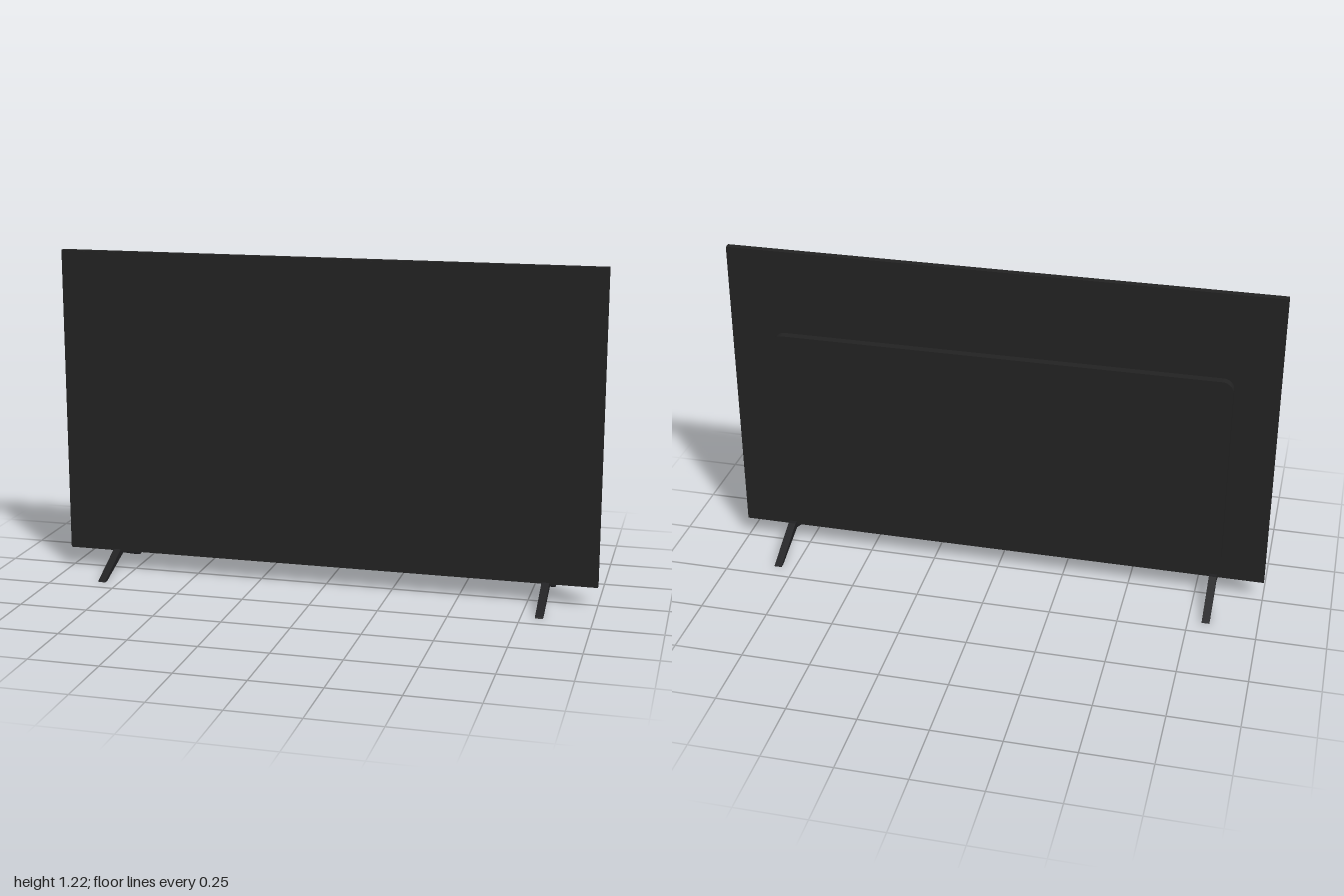
import * as THREE from 'three';

// Rounded rectangle outline centred on (0, cy)
function roundedRect(w, h, r, cy) {
  const s = new THREE.Shape();
  const x = w / 2, b = cy - h / 2, t = cy + h / 2;
  s.moveTo(-x + r, b);
  s.lineTo(x - r, b);
  s.absarc(x - r, b + r, r, -Math.PI / 2, 0);
  s.lineTo(x, t - r);
  s.absarc(x - r, t - r, r, 0, Math.PI / 2);
  s.lineTo(-x + r, t);
  s.absarc(-x + r, t - r, r, Math.PI / 2, Math.PI);
  s.lineTo(-x, b + r);
  s.absarc(-x + r, b + r, r, Math.PI, Math.PI * 1.5);
  return s;
}

export function createModel() {
  const model = new THREE.Group();
  model.name = 'television';

  const black = new THREE.MeshStandardMaterial({ color: 0x222222 });
  black.name = 'matte black';
  const legBlack = new THREE.MeshStandardMaterial({ color: 0x202022 });
  legBlack.name = 'leg black';

  const add = (name, geometry, material) => {
    const mesh = new THREE.Mesh(geometry, material);
    mesh.name = name;
    model.add(mesh);
    return mesh;
  };

  // Thin flat panel
  add('panel', new THREE.BoxGeometry(2, 1.14, 0.025), black).position.set(0, 0.645, 0.0155);

  // Screen face, a hair proud of the panel
  add('screen', new THREE.BoxGeometry(1.99, 1.13, 0.002), black).position.set(0, 0.645, 0.028);

  // Electronics housing with rounded corners on the back
  const housing = new THREE.ExtrudeGeometry(roundedRect(1.68, 0.755, 0.04, 0.518), {
    depth: 0.031, bevelEnabled: false, curveSegments: 8,
  });
  add('rearHousing', housing, black).position.z = -0.027;

  // Splayed legs: inverted V profile in z and y, extruded across x
  const profile = new THREE.Shape([
    [-0.192, 0], [-0.172, 0], [0, 0.061], [0.172, 0], [0.192, 0],
    [0.19, 0.004], [0.015, 0.086], [-0.015, 0.086], [-0.19, 0.004],
  ].map(([z, y]) => new THREE.Vector2(z, y)));
  const width = 0.028;
  for (const side of [1, -1]) {
    const leg = new THREE.ExtrudeGeometry(profile, { depth: width, bevelEnabled: false });
    leg.translate(0, 0, -width / 2);
    leg.rotateY(Math.PI / 2);
    add(side > 0 ? 'leftLeg' : 'rightLeg', leg, legBlack).position.x = side * 0.814;
  }

  return model;
}
